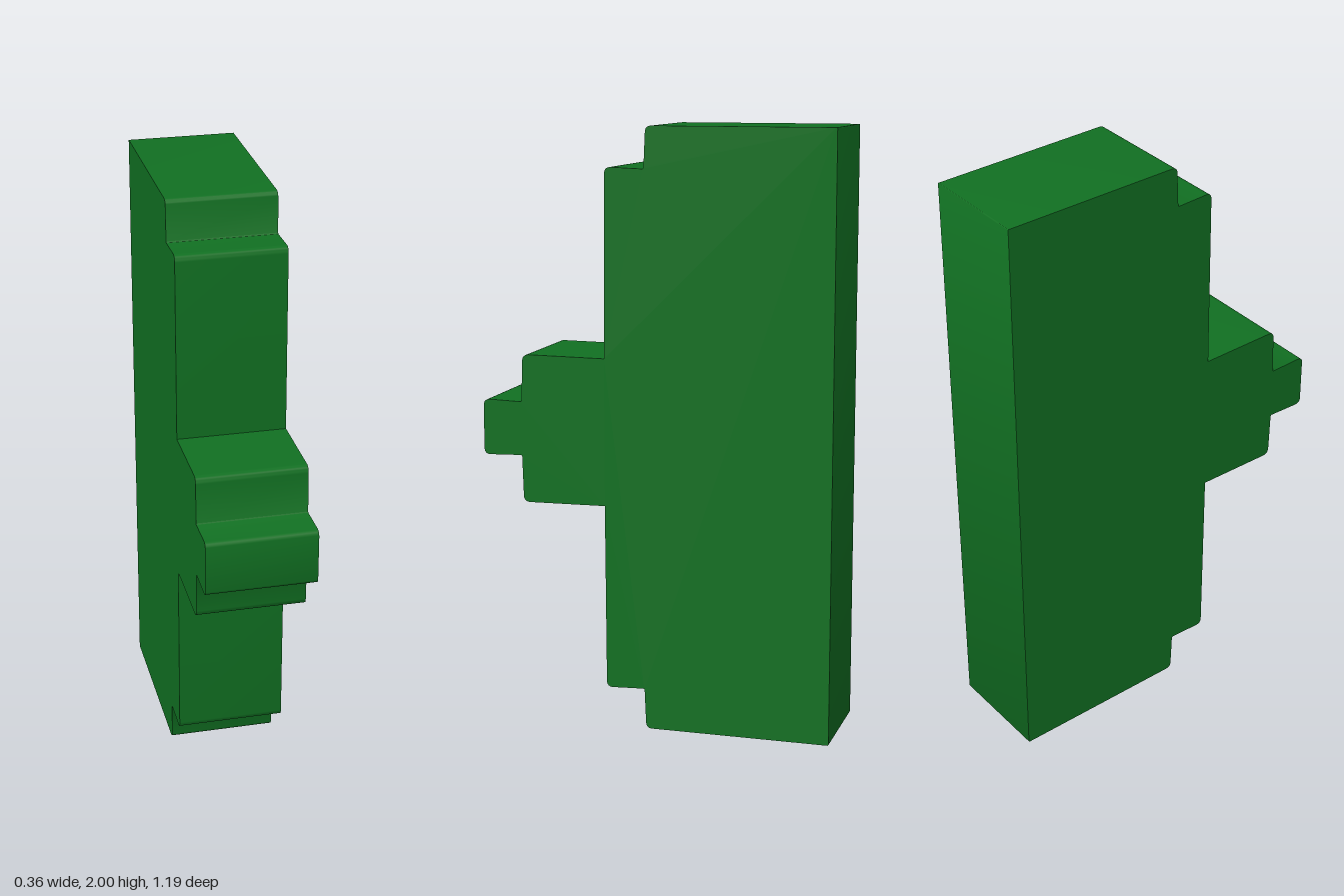
import * as THREE from 'three';
import { toCreasedNormals } from 'three/addons/utils/BufferGeometryUtils.js';

const WIDTH = 0.36;

// Closed outline whose corners [z, y, radius] are rounded by their radius
function roundedOutline(corners) {
  const shape = new THREE.Shape();
  const n = corners.length;
  corners.forEach(([x, y, r], i) => {
    const p = new THREE.Vector2(x, y);
    const towards = (c) => new THREE.Vector2(c[0], c[1]).sub(p).setLength(r).add(p);
    const a = towards(corners[(i + n - 1) % n]);
    const b = towards(corners[(i + 1) % n]);
    if (i === 0) shape.moveTo(a.x, a.y);
    else shape.lineTo(a.x, a.y);
    if (r > 0) shape.quadraticCurveTo(x, y, b.x, b.y);
  });
  shape.closePath();
  return shape;
}

export function createModel() {
  const group = new THREE.Group();
  group.name = 'steppedBlock';

  // Upper half of the side profile, from the nose up to the back
  const upper = [
    [0.595, 1.094, 0.022],
    [0.461, 1.09, 0.006],
    [0.456, 1.249, 0.022],
    [0.172, 1.246, 0],
    [0.168, 1.868, 0.022],
    [0.036, 1.863, 0.006],
    [0.03, 2, 0.02],
    [-0.592, 2, 0.004],
  ];
  // The lower half mirrors it about y = 1
  const lower = upper.map(([z, y, r]) => [z, 2 - y, r]).reverse();

  // Sweep the profile across the width
  const extruded = new THREE.ExtrudeGeometry(roundedOutline([...upper, ...lower]), {
    depth: WIDTH, bevelEnabled: false, curveSegments: 6,
  });
  extruded.translate(0, 0, -WIDTH / 2).rotateY(-Math.PI / 2);
  const body = new THREE.Mesh(
    toCreasedNormals(extruded, 0.7),
    new THREE.MeshStandardMaterial({ color: 0x117022 }),
  );
  body.name = 'body';
  group.add(body);
  return group;
}
